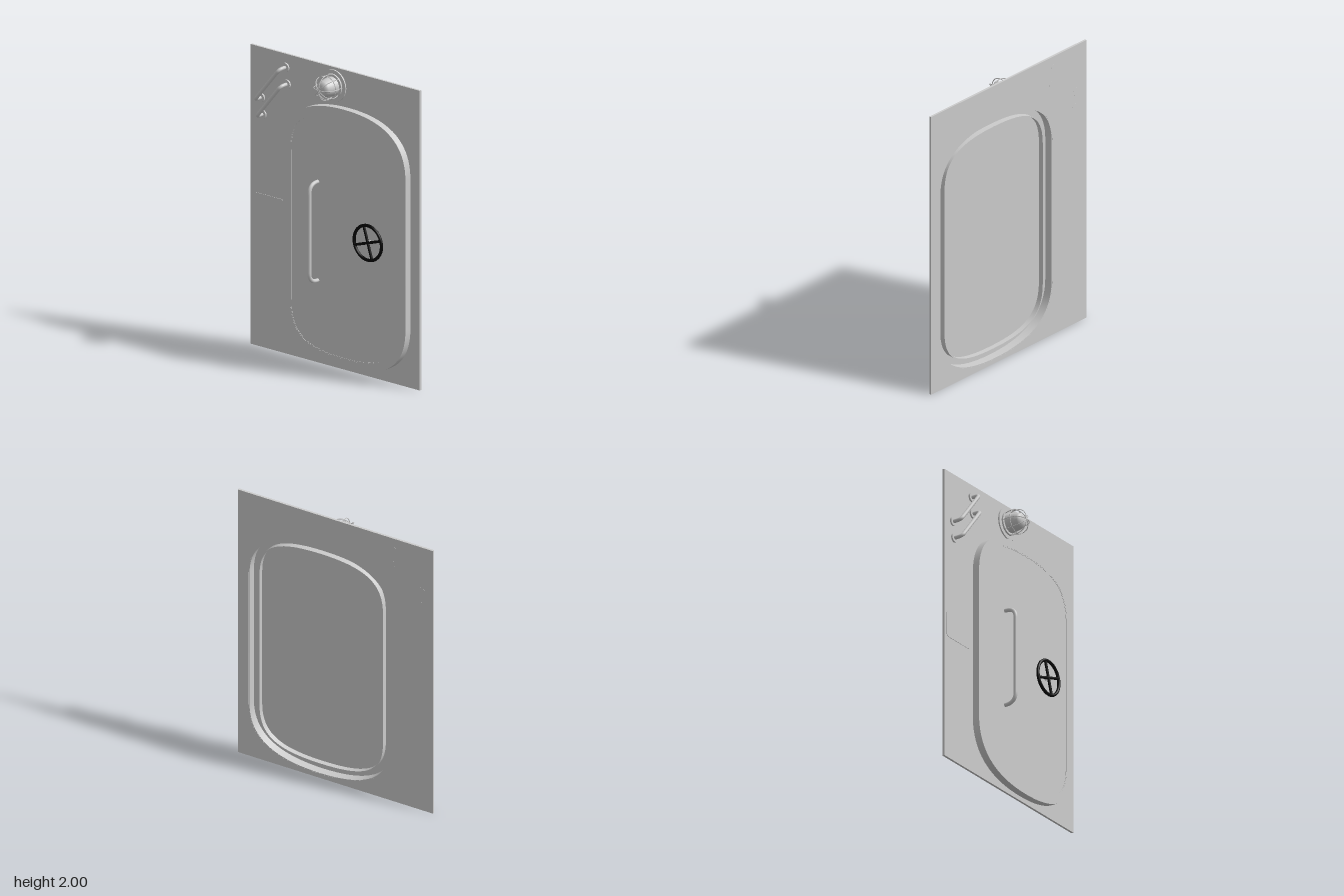
import * as THREE from 'three';
import { toCreasedNormals } from 'three/addons/utils/BufferGeometryUtils.js';

const grey = new THREE.MeshStandardMaterial({ color: 0xcccccc });
const black = new THREE.MeshStandardMaterial({ color: 0x050505 });

const BACK = -0.083;   // rear of the wall panel
const FACE = -0.068;   // front of the wall panel
const FRAME = -0.02;   // front of the raised door frame

function add(parent, name, geometry, material = grey) {
  const mesh = new THREE.Mesh(geometry, material);
  mesh.name = name;
  parent.add(mesh);
  return mesh;
}

// Hatch outline: straight sides with broad, soft top and bottom curves
function outline(w, h, Type = THREE.Shape) {
  const s = new Type(), cx = 0.117, cy = 0.8925;
  const k = 0.5, c = 0.73, q = 0.7 * w;
  s.moveTo(cx + w, cy - k);
  s.lineTo(cx + w, cy + k);
  s.bezierCurveTo(cx + w, cy + c, cx + q, cy + h, cx, cy + h);
  s.bezierCurveTo(cx - q, cy + h, cx - w, cy + c, cx - w, cy + k);
  s.lineTo(cx - w, cy - k);
  s.bezierCurveTo(cx - w, cy - c, cx - q, cy - h, cx, cy - h);
  s.bezierCurveTo(cx + q, cy - h, cx + w, cy - c, cx + w, cy - k);
  return s;
}

function slab(shape, z0, z1) {
  const g = new THREE.ExtrudeGeometry(shape, { depth: z1 - z0, bevelEnabled: false, curveSegments: 20 });
  g.translate(0, 0, z0);
  return toCreasedNormals(g, 0.6);
}

function band(w, h, wi, hi, z0, z1) {
  const s = outline(w, h);
  s.holes.push(outline(wi, hi, THREE.Path));
  return slab(s, z0, z1);
}

// Disc or stem whose axis runs along z
function disc(r, z0, z1, x, y, sides = 32) {
  return new THREE.CylinderGeometry(r, r, z1 - z0, sides)
    .rotateX(Math.PI / 2).translate(x, y, (z0 + z1) / 2);
}

// Bent bar standing off a surface between two feet
function bar(x0, y0, x1, y1, zFoot, zTop, bend, r) {
  const a = new THREE.Vector3(x0, y0, zFoot), b = new THREE.Vector3(x1, y1, zFoot);
  const A = new THREE.Vector3(x0, y0, zTop), B = new THREE.Vector3(x1, y1, zTop);
  const along = B.clone().sub(A).normalize().multiplyScalar(bend);
  const a1 = A.clone().setZ(zTop - bend), a2 = A.clone().add(along);
  const b2 = B.clone().sub(along), b1 = B.clone().setZ(zTop - bend);
  const path = new THREE.CurvePath();
  path.add(new THREE.LineCurve3(a, a1));
  path.add(new THREE.QuadraticBezierCurve3(a1, A, a2));
  path.add(new THREE.LineCurve3(a2, b2));
  path.add(new THREE.QuadraticBezierCurve3(b2, B, b1));
  path.add(new THREE.LineCurve3(b1, b));
  return new THREE.TubeGeometry(path, 72, r, 12);
}

function createLamp() {
  const lamp = new THREE.Group();
  lamp.name = 'lamp';
  lamp.position.set(-0.013, 1.878, 0);
  add(lamp, 'lampBase', disc(0.106, FACE, -0.059, 0, 0, 40));
  add(lamp, 'lampCollar', disc(0.08, -0.059, -0.048, 0, 0, 40));

  // Tapered glass with a rounded nose
  const profile = [[0.064, -0.048], [0.062, -0.03], [0.056, 0.01], [0.05, 0.034],
    [0.04, 0.046], [0.022, 0.053], [0, 0.055]].map(p => new THREE.Vector2(...p));
  add(lamp, 'lampGlass', new THREE.LatheGeometry(profile, 32).rotateX(Math.PI / 2));

  // Wire cage: eight ribs meeting at the nose, and hoops
  const rib = new THREE.CatmullRomCurve3([[0.074, -0.05], [0.081, -0.02], [0.081, 0.012],
    [0.066, 0.048], [0.036, 0.07], [0, 0.078]].map(([r, z]) => new THREE.Vector3(r, 0, z)));
  const ribGeometry = new THREE.TubeGeometry(rib, 24, 0.0028, 6);
  for (let i = 0; i < 8; i++) {
    add(lamp, 'cageRib', ribGeometry).rotation.z = i * Math.PI / 4;
  }
  add(lamp, 'cageHoop', new THREE.TorusGeometry(0.081, 0.0028, 6, 40)).position.z = 0.005;
  return lamp;
}

function createWheel() {
  const wheel = new THREE.Group();
  wheel.name = 'handWheel';
  wheel.position.set(0.335, 0.92, 0.002);
  wheel.rotation.z = 0.31;
  add(wheel, 'wheelRim', new THREE.TorusGeometry(0.115, 0.0105, 12, 48), black);
  for (const turn of [0, Math.PI / 2]) {
    const spoke = new THREE.CylinderGeometry(0.009, 0.009, 0.23, 10).rotateZ(turn);
    add(wheel, 'wheelSpoke', spoke, black);
  }
  add(wheel, 'wheelStem', disc(0.012, -0.03, 0.002, 0, 0, 16));
  return wheel;
}

export function createModel() {
  const model = new THREE.Group();
  model.name = 'hatchDoor';

  // Wall panel with the doorway cut out
  const wall = new THREE.Shape([[-0.71, 0], [0.71, 0], [0.71, 2], [-0.71, 2]]
    .map(p => new THREE.Vector2(...p)));
  wall.holes.push(outline(0.514, 0.8615, THREE.Path));
  add(model, 'wallPanel', slab(wall, BACK, FACE));

  // Door frame: a channel open at the back, with an inner lip
  add(model, 'frameOuterWall', band(0.515, 0.8625, 0.508, 0.8555, BACK + 0.0005, FRAME));
  add(model, 'frameFace', band(0.5085, 0.856, 0.4525, 0.8025, FRAME - 0.007, FRAME));
  add(model, 'frameLip', band(0.4525, 0.8025, 0.4455, 0.7955, -0.065, FRAME - 0.001));
  add(model, 'doorLeaf', slab(outline(0.446, 0.796), -0.031, FRAME - 0.003));

  // Door fittings
  add(model, 'doorHandle', bar(-0.107, 0.568, -0.107, 1.226, -0.03, 0.059, 0.07, 0.013));
  model.add(createWheel());

  // Slanted grab rails with round foot plates
  for (const [x0, y0, x1, y1] of [[-0.62, 1.665, -0.415, 1.91], [-0.607, 1.555, -0.403, 1.8]]) {
    const rail = new THREE.Group();
    rail.name = 'grabRail';
    add(rail, 'railBar', bar(x0, y0, x1, y1, FACE, -0.004, 0.032, 0.0125));
    for (const [x, y] of [[x0, y0], [x1, y1]]) {
      add(rail, 'railFoot', disc(0.03, BACK - 0.0005, -0.058, x, y));
    }
    model.add(rail);
  }

  // Thin plate with rounded corners
  const plate = new THREE.Shape(), l = -0.688, r = -0.43, b = 0.842, t = 1.022, c = 0.022;
  plate.moveTo(l + c, b);
  plate.absarc(r - c, b + c, c, -Math.PI / 2, 0);
  plate.absarc(r - c, t - c, c, 0, Math.PI / 2);
  plate.absarc(l + c, t - c, c, Math.PI / 2, Math.PI);
  plate.absarc(l + c, b + c, c, Math.PI, Math.PI * 1.5);
  add(model, 'signPlate', slab(plate, FACE - 0.002, FACE + 0.003));

  model.add(createLamp());
  return model;
}
